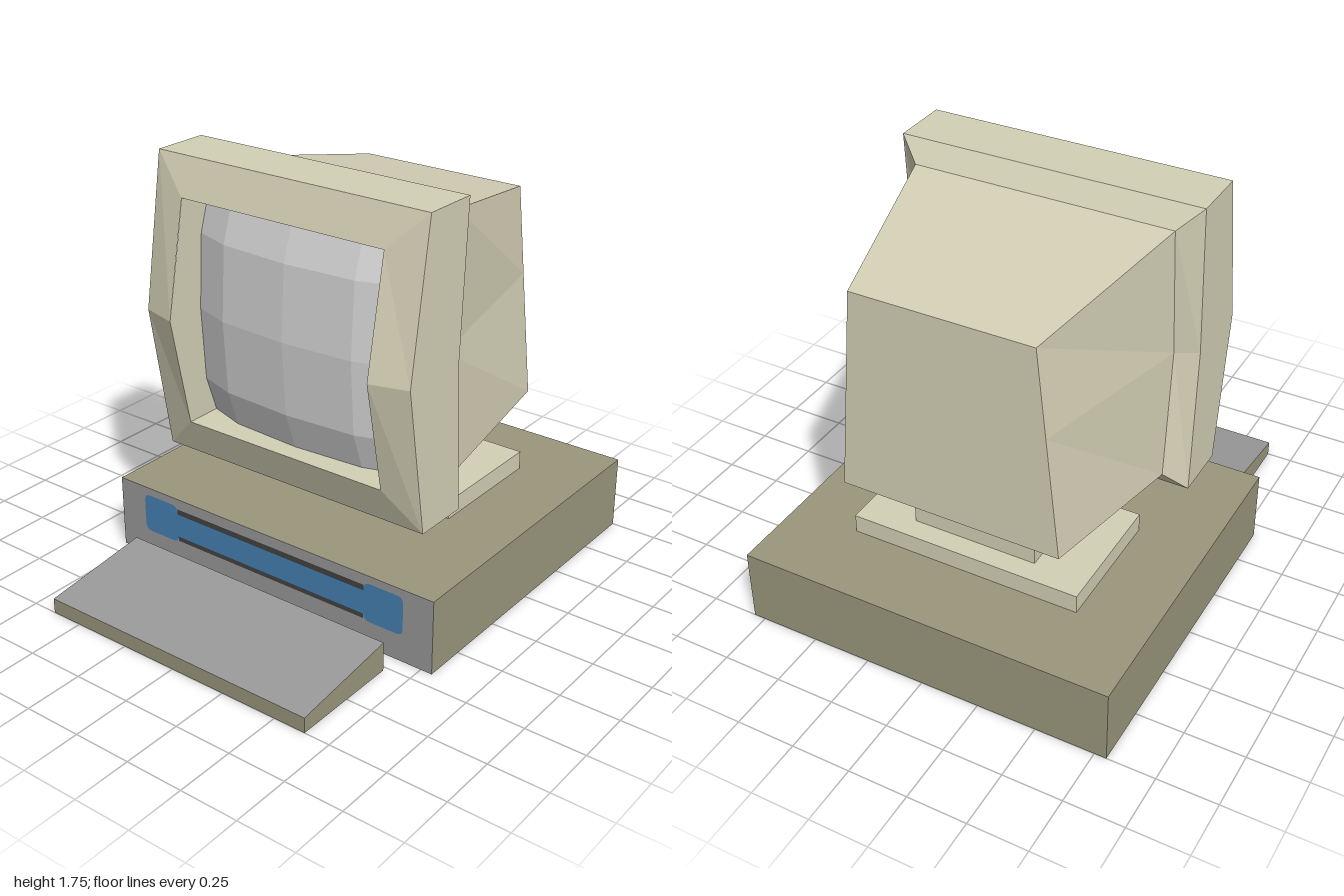
import * as THREE from 'three';

const material = (name, color) => {
  const m = new THREE.MeshStandardMaterial({ color });
  m.name = name;
  return m;
};

// Faceted geometry from a list of quads, corners anticlockwise from outside
function quads(list) {
  const pos = [];
  for (const [a, b, c, d] of list) pos.push(...a, ...b, ...c, ...a, ...c, ...d);
  const g = new THREE.BufferGeometry();
  g.setAttribute('position', new THREE.Float32BufferAttribute(pos, 3));
  g.computeVertexNormals();
  return g;
}

// Skin between closed rings, ordered back to front
function loft(rings) {
  const list = [];
  for (let r = 0; r + 1 < rings.length; r++) {
    const a = rings[r], b = rings[r + 1], n = a.length;
    for (let i = 0; i < n; i++) {
      const j = (i + 1) % n;
      list.push([a[i], a[j], b[j], b[i]]);
    }
  }
  return list;
}

// Six-point mirrored ring; each level is [half width, y, z]
const ring = (bottom, mid, top) => {
  const left = ([w, y, z]) => [-w, y, z];
  return [left(bottom), bottom, mid, top, left(top), left(mid)];
};

export function createModel() {
  const group = new THREE.Group();
  const beige = material('beige', 0xd4d0b6);
  const olive = material('olive', 0x9b977d);
  const gray = material('gray', 0x9a9a9a);
  const glass = material('screen gray', 0xd3d3d3);
  const blue = material('blue', 0x4682b4);
  const dark = material('dark slot', 0x444444);

  const add = (name, geometry, mat, x = 0, y = 0, z = 0) => {
    const mesh = new THREE.Mesh(geometry, mat);
    mesh.name = name;
    mesh.position.set(x, y, z);
    group.add(mesh);
    return mesh;
  };

  // Computer case with a gray front
  add('case', new THREE.BoxGeometry(1.6, 0.32, 1.43),
    [olive, olive, olive, olive, gray, olive], 0, 0.16, -0.285);

  // Wedge keyboard with a gray top
  const wedge = new THREE.BoxGeometry(1.28, 1, 0.48);
  const p = wedge.attributes.position;
  for (let i = 0; i < p.count; i++) {
    p.setY(i, p.getY(i) < 0 ? 0 : p.getZ(i) > 0 ? 0.065 : 0.125);
  }
  wedge.computeVertexNormals();
  add('keyboard', wedge, [olive, olive, gray, olive, olive, olive], 0, 0, 0.76);

  // Blue front panel: two rounded ends joined by a band between dark slots
  const roundedEnd = (w, h, r) => {
    const s = new THREE.Shape();
    const x = w / 2, y = h / 2;
    s.moveTo(-x + r, -y);
    s.lineTo(x - r, -y);
    s.quadraticCurveTo(x, -y, x, -y + r);
    s.lineTo(x, y - r);
    s.quadraticCurveTo(x, y, x - r, y);
    s.lineTo(-x + r, y);
    s.quadraticCurveTo(-x, y, -x, y - r);
    s.lineTo(-x, -y + r);
    s.quadraticCurveTo(-x, -y, -x + r, -y);
    return new THREE.ShapeGeometry(s, 4);
  };
  for (const side of [-1, 1]) {
    add('panelEnd', roundedEnd(0.185, 0.17, 0.03), blue, side * 0.5725, 0.203, 0.433);
  }
  add('panelBand', new THREE.PlaneGeometry(0.97, 0.105), blue, 0, 0.1975, 0.433);
  add('upperSlot', new THREE.PlaneGeometry(0.96, 0.025), dark, 0, 0.2625, 0.433);
  add('lowerSlot', new THREE.PlaneGeometry(0.96, 0.02), dark, 0, 0.135, 0.433);

  // Monitor stand
  add('standPlate', new THREE.BoxGeometry(1, 0.08, 0.55), beige, 0, 0.36, -0.395);
  add('standNeck', new THREE.BoxGeometry(0.54, 0.24, 0.365), beige, 0, 0.52, -0.3975);

  // Monitor housing, tapering to the back
  const MID = 1.115;
  const back = ring([0.47, 0.645, -0.76], [0.417, 1.17, -0.76], [0.38, 1.54, -0.76]);
  const collar = ring([0.55, 0.56, -0.03], [0.55, MID, 0.02], [0.55, 1.67, -0.03]);
  const bezelBack = ring([0.64, 0.48, 0.03], [0.64, MID, 0.065], [0.64, 1.755, 0.03]);
  const bezelFront = ring([0.64, 0.48, 0.275], [0.64, MID, 0.38], [0.64, 1.755, 0.275]);
  const opening = ring([0.48, 0.64, 0.33], [0.48, MID, 0.425], [0.48, 1.6, 0.33]);
  add('monitorBack', quads([
    ...loft([back, collar]),
    [back[1], back[0], back[5], back[2]],
    [back[2], back[5], back[4], back[3]],
  ]), beige);
  add('bezel', quads(loft([collar, bezelBack, bezelFront, opening])), beige);

  // Curved screen on a coarse grid, sunk into the bezel
  const xs = [-0.48, -0.315, 0, 0.315, 0.48];
  const ys = [0.64, 0.8, MID, 1.43, 1.6];
  const bulge = [0, 0.055, 0.075, 0.055, 0];
  const point = (i, j) => [xs[i], ys[j], 0.17 + bulge[i] + bulge[j]];
  const faces = [];
  for (let i = 0; i < 4; i++) {
    for (let j = 0; j < 4; j++) {
      faces.push([point(i, j), point(i + 1, j), point(i + 1, j + 1), point(i, j + 1)]);
    }
  }
  add('screen', quads(faces), glass);

  // Recess walls from the bezel opening to the screen edge
  const edge = [];
  for (let k = 0; k < 4; k++) edge.push(point(k, 0));
  for (let k = 0; k < 4; k++) edge.push(point(4, k));
  for (let k = 4; k > 0; k--) edge.push(point(k, 4));
  for (let k = 4; k > 0; k--) edge.push(point(0, k));
  const lip = edge.map(([x, y]) => [x, y, 0.425 - 0.095 * Math.min(1, Math.abs(y - MID) / 0.475)]);
  add('screenRecess', quads(loft([lip, edge])), beige);

  return group;
}
